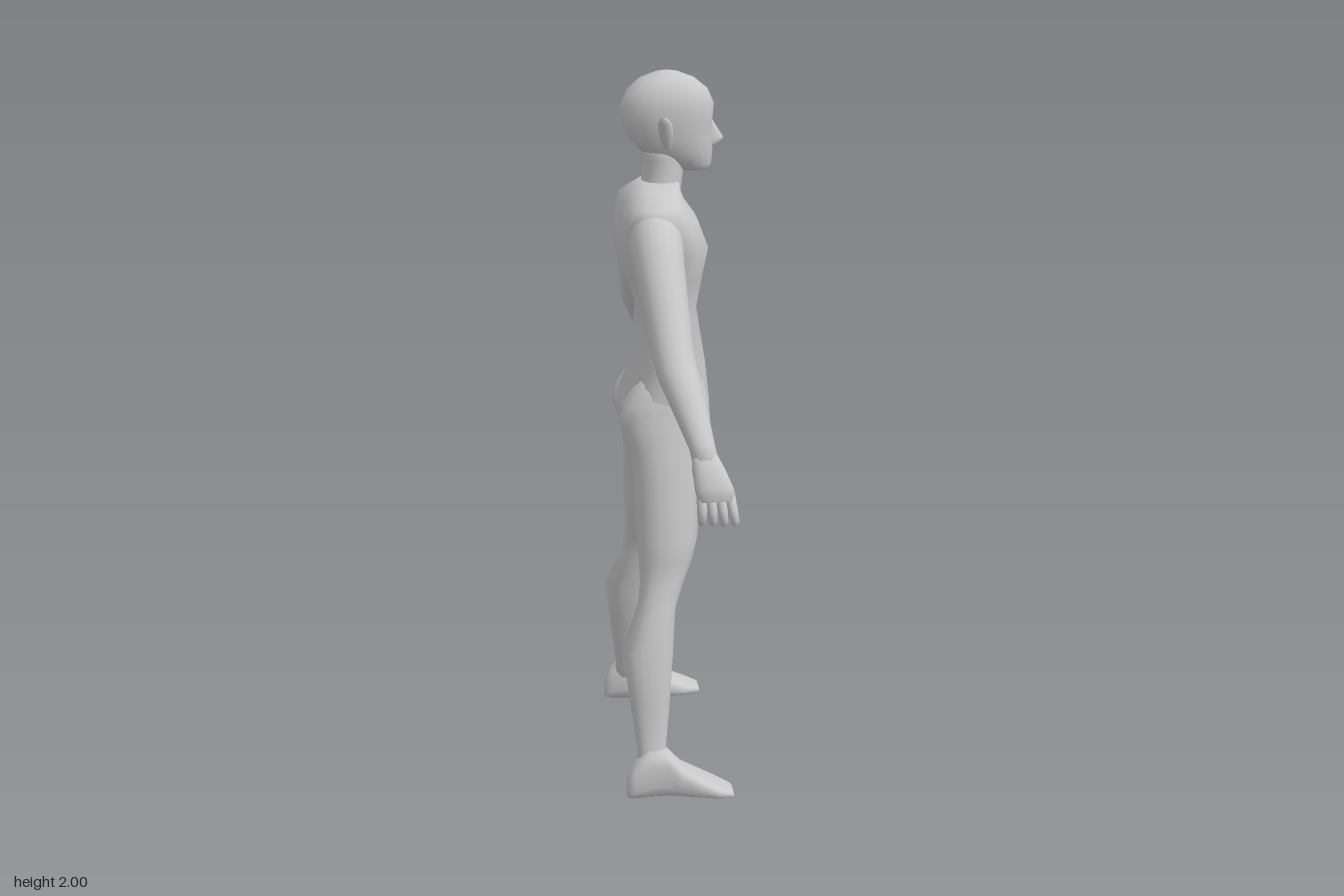
import * as THREE from 'three';

const SEG = 20;
const skin = new THREE.MeshStandardMaterial({ color: 0xc8c8c8 });
skin.name = 'plain grey';

// Point on a rounded-square outline; n = 2 is an ellipse, higher is squarer
function outline(k, n) {
  const t = (k / SEG) * Math.PI * 2;
  const f = (v) => Math.sign(v) * Math.pow(Math.abs(v), 2 / n);
  return [f(Math.cos(t)), f(Math.sin(t))];
}

const ringOf = (fn, n) => Array.from({ length: SEG }, (_, k) => fn(...outline(k, n)));

// Skin a closed surface over rings, with a centre point at each end
function loft(rings, mirrored) {
  const s = mirrored ? -1 : 1;
  const pos = [];
  const idx = [];
  for (const ring of rings) for (const p of ring) pos.push(p[0], p[1], p[2] * s);
  for (let i = 0; i < rings.length - 1; i++) {
    for (let k = 0; k < SEG; k++) {
      const a = i * SEG + k, b = i * SEG + ((k + 1) % SEG);
      idx.push(a, a + SEG, b, b, a + SEG, b + SEG);
    }
  }
  for (const i of [0, rings.length - 1]) {
    const c = [0, 1, 2].map((d) => rings[i].reduce((sum, p) => sum + p[d], 0) / SEG);
    const m = pos.length / 3;
    pos.push(c[0], c[1], c[2] * s);
    for (let k = 0; k < SEG; k++) {
      const a = i * SEG + k, b = i * SEG + ((k + 1) % SEG);
      if (i === 0) idx.push(m, a, b);
      else idx.push(m, b, a);
    }
  }
  // Turn faces outward when the enclosed volume comes out negative
  const v = (j) => new THREE.Vector3(pos[j * 3], pos[j * 3 + 1], pos[j * 3 + 2]);
  let volume = 0;
  for (let j = 0; j < idx.length; j += 3) volume += v(idx[j]).dot(v(idx[j + 1]).cross(v(idx[j + 2])));
  if (volume < 0) idx.reverse();
  const geo = new THREE.BufferGeometry();
  geo.setAttribute('position', new THREE.Float32BufferAttribute(pos, 3));
  geo.setIndex(idx);
  geo.computeVertexNormals();
  return geo;
}

// Level sections: [y, back x, front x, low z, high z]
const level = (list, n = 2) => list.map(([y, x0, x1, z0, z1]) =>
  ringOf((c, s) => [(x0 + x1) / 2 + ((x1 - x0) / 2) * c, y, (z0 + z1) / 2 + ((z1 - z0) / 2) * s], n));

// Level sections symmetric in z: [y, back x, front x, half width]
const centred = (list, n) => level(list.map(([y, x0, x1, w]) => [y, x0, x1, -w, w]), n);

// Sections across a limb path: [x, y, z, half depth in x, half thickness]
const limb = (list, n = 2) => list.map(([x, y, z, a, b], i) => {
  const p = list[Math.max(0, i - 1)], q = list[Math.min(list.length - 1, i + 1)];
  const dy = q[1] - p[1], dz = q[2] - p[2], len = Math.hypot(dy, dz);
  return ringOf((c, s) => [x + a * c, y + (b * s * dz) / len, z - (b * s * dy) / len], n);
});

// Upright sections resting on the ground: [x, top y, low z, high z]
const upright = (list, n) => list.map(([x, top, z0, z1]) =>
  ringOf((c, s) => [x, (top / 2) * (1 + s), (z0 + z1) / 2 + ((z1 - z0) / 2) * c], n));

export function createModel() {
  const model = new THREE.Group();
  model.name = 'figure';
  const add = (name, rings, mirrored = false) => {
    const mesh = new THREE.Mesh(loft(rings, mirrored), skin);
    mesh.name = name;
    model.add(mesh);
  };

  // Trunk from crotch to the base of the neck
  add('torso', centred([
    [0.945, -0.05, 0.03, 0.02],
    [0.98, -0.1, 0.08, 0.08],
    [1.05, -0.135, 0.12, 0.165],
    [1.09, -0.14, 0.118, 0.165],
    [1.2, -0.095, 0.105, 0.163],
    [1.36, -0.085, 0.078, 0.163],
    [1.45, -0.12, 0.095, 0.18],
    [1.53, -0.145, 0.11, 0.205],
    [1.61, -0.138, 0.078, 0.225],
    [1.655, -0.13, 0.045, 0.2],
    [1.685, -0.1, 0.035, 0.11],
    [1.705, -0.075, 0.035, 0.07],
  ], 2.5));

  add('neck', centred([
    [1.64, -0.09, 0.04, 0.08],
    [1.7, -0.07, 0.042, 0.068],
    [1.76, -0.062, 0.05, 0.063],
    [1.83, -0.07, 0.05, 0.063],
  ]));

  add('head', centred([
    [1.732, 0.035, 0.118, 0.035],
    [1.75, 0.0, 0.124, 0.052],
    [1.785, -0.07, 0.127, 0.07],
    [1.82, -0.103, 0.126, 0.08],
    [1.865, -0.124, 0.126, 0.087],
    [1.91, -0.125, 0.13, 0.09],
    [1.95, -0.108, 0.112, 0.08],
    [1.98, -0.072, 0.075, 0.056],
    [1.996, -0.03, 0.032, 0.025],
    [2.0, -0.008, 0.008, 0.006],
  ], 2.15));

  add('nose', centred([
    [1.79, 0.1, 0.126, 0.014],
    [1.807, 0.1, 0.152, 0.018],
    [1.818, 0.1, 0.156, 0.014],
    [1.865, 0.1, 0.126, 0.008],
  ]));

  for (const [side, m] of [['left', false], ['right', true]]) {
    add(side + 'Ear', level([
      [1.8, -0.018, 0.004, 0.065, 0.08],
      [1.835, -0.03, 0.008, 0.07, 0.098],
      [1.87, -0.036, 0.004, 0.078, 0.113],
      [1.887, -0.03, -0.012, 0.1, 0.117],
    ]), m);

    add(side + 'Leg', level([
      [0.06, -0.125, -0.035, 0.28, 0.35],
      [0.13, -0.12, -0.04, 0.265, 0.325],
      [0.27, -0.138, -0.025, 0.225, 0.318],
      [0.42, -0.155, -0.012, 0.182, 0.308],
      [0.54, -0.108, -0.002, 0.155, 0.275],
      [0.6, -0.1, 0.022, 0.138, 0.255],
      [0.67, -0.1, 0.053, 0.085, 0.245],
      [0.73, -0.106, 0.067, 0.07, 0.248],
      [0.9, -0.11, 0.085, 0.018, 0.215],
      [0.98, -0.12, 0.098, 0.002, 0.194],
      [1.05, -0.146, 0.112, 0.01, 0.178],
      [1.1, -0.135, 0.105, 0.03, 0.165],
      [1.18, -0.08, 0.085, 0.05, 0.15],
    ], 2.2), m);

    add(side + 'Foot', upright([
      [-0.152, 0.055, 0.3, 0.345],
      [-0.135, 0.1, 0.286, 0.36],
      [-0.09, 0.14, 0.275, 0.358],
      [-0.04, 0.14, 0.272, 0.36],
      [0.0, 0.095, 0.27, 0.368],
      [0.05, 0.066, 0.27, 0.38],
      [0.1, 0.04, 0.28, 0.386],
      [0.145, 0.018, 0.305, 0.372],
    ], 2.8), m);

    // Shoulder, elbow and wrist in one tapering sweep
    add(side + 'Arm', limb([
      [-0.05, 1.6, 0.12, 0.06, 0.06],
      [-0.052, 1.565, 0.19, 0.072, 0.085],
      [-0.05, 1.515, 0.24, 0.068, 0.071],
      [-0.042, 1.42, 0.315, 0.061, 0.062],
      [-0.034, 1.32, 0.39, 0.055, 0.053],
      [-0.025, 1.27, 0.435, 0.054, 0.05],
      [-0.005, 1.205, 0.495, 0.046, 0.04],
      [0.018, 1.12, 0.565, 0.034, 0.029],
      [0.025, 1.085, 0.59, 0.034, 0.028],
    ]), m);

    add(side + 'Palm', limb([
      [0.02, 1.11, 0.57, 0.03, 0.026],
      [0.03, 1.07, 0.598, 0.042, 0.03],
      [0.042, 1.025, 0.622, 0.05, 0.026],
      [0.046, 0.995, 0.635, 0.048, 0.018],
    ], 2.4), m);

    // Four curled fingers, the foremost reaching out a little
    for (let f = 0; f < 4; f++) {
      const x = 0.008 + f * 0.024, out = f * 0.004;
      add(side + 'Finger' + (f + 1), limb([
        [x, 1.02, 0.622, 0.013, 0.015],
        [x + out * 0.5, 0.975, 0.64 + out * 0.3, 0.013, 0.014],
        [x + out, 0.945, 0.634 + out, 0.011, 0.011],
        [x + out, 0.935, 0.622 + out * 1.5, 0.007, 0.007],
      ]), m);
    }

    add(side + 'Thumb', limb([
      [0.045, 1.075, 0.595, 0.018, 0.016],
      [0.062, 1.035, 0.58, 0.014, 0.013],
      [0.063, 1.005, 0.57, 0.012, 0.011],
      [0.062, 0.988, 0.567, 0.006, 0.006],
    ]), m);
  }
  return model;
}
